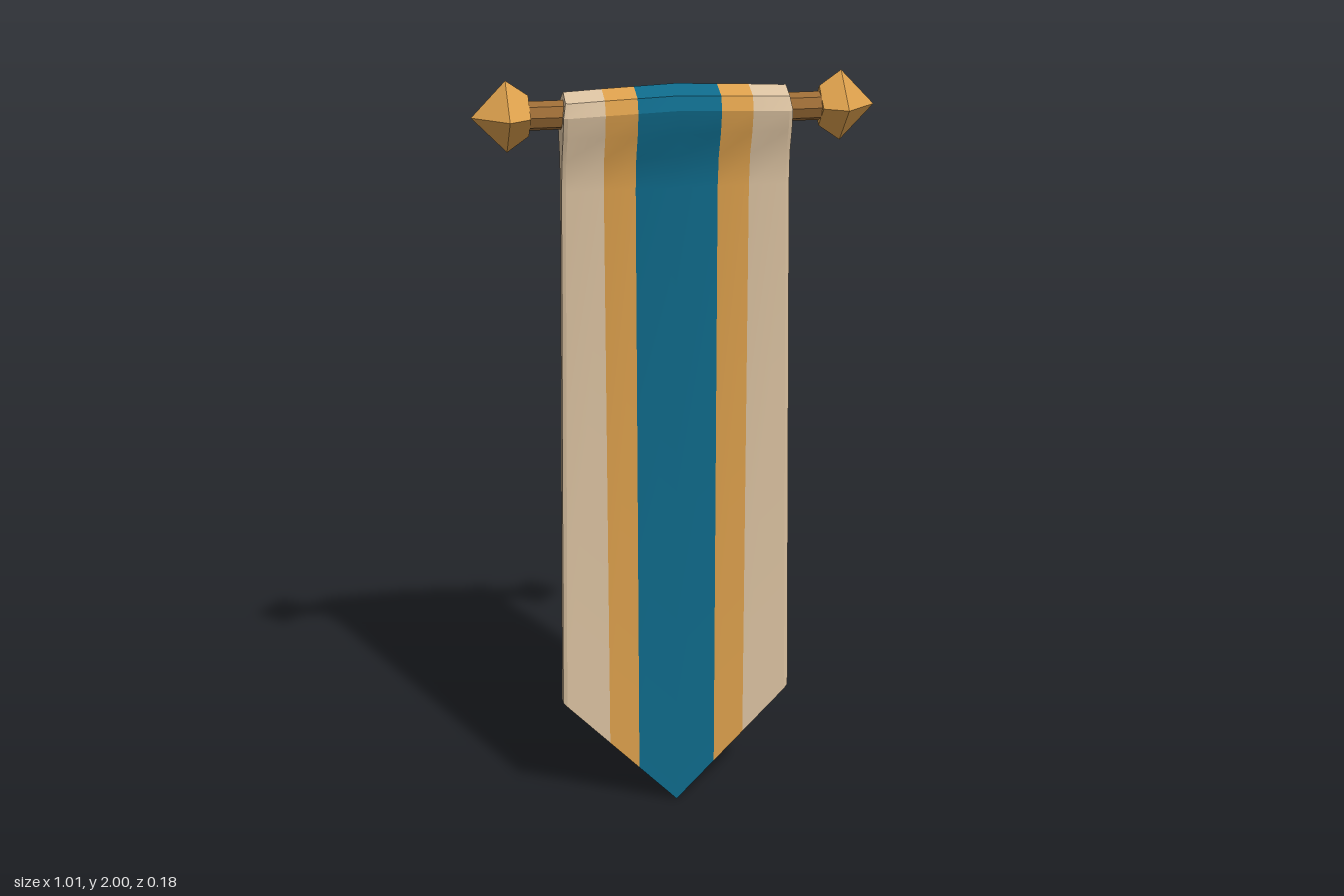
import * as THREE from 'three';
import { toCreasedNormals } from 'three/addons/utils/BufferGeometryUtils.js';

const mat = (name, color) => new THREE.MeshStandardMaterial({ name, color });

const ROD_Y = 1.91;
const EDGE = 0.3; // any column beyond this follows the tapered cloth edge

// Front half of the cloth section: [height, half depth], from hem to the fold over the rod
const SECTION = [
  [0, 0.018], [1.72, 0.018], [1.8, 0.026], [1.86, 0.047],
  [1.91, 0.058], [1.945, 0.048], [1.966, 0],
];

// Closed ring of points around the cloth at one column; inset bevels the outer edge
function clothRing(x, inset = 0) {
  const a = Math.abs(x), s = Math.sign(x);
  const bulge = Math.max(0, 1 - a / 0.29); // fold is fuller in the middle
  const front = SECTION.map(([y, z], i) => {
    let px = a;
    if (a >= EDGE) {
      const t = Math.max(0, (y - 0.32) / 1.59);
      px = 0.31 - 0.024 * t - (0.01 - inset) - (y > 1.93 ? 0.006 : 0);
    }
    const py = i === 0 ? px * 1.035 : y + (y > 1.9 ? bulge * 0.012 : 0);
    const pz = y > 1.75 ? z * (1 + bulge * 0.18) : z;
    return new THREE.Vector3(s * px, py, Math.max(0, pz - inset * 0.5));
  });
  const back = front.slice(0, -1).reverse().map(p => new THREE.Vector3(p.x, p.y, -p.z));
  return [...front, ...back];
}

// Skin between neighbouring rings, with optional end caps
function clothStrip(rings, capLeft, capRight) {
  const pos = [];
  const quad = (a, b, c, d) => [a, b, c, a, c, d].forEach(p => pos.push(p.x, p.y, p.z));
  for (let k = 0; k < rings.length - 1; k++) {
    const a = rings[k], b = rings[k + 1], n = a.length;
    for (let i = 0; i < n; i++) {
      const j = (i + 1) % n;
      quad(a[i], b[i], b[j], a[j]);
    }
  }
  const cap = (r, flip) => {
    const n = r.length;
    for (let i = 0; i < SECTION.length - 1; i++) {
      const q = [r[i], r[n - 1 - i], r[n - 2 - i], r[i + 1]];
      quad(...(flip ? q.reverse() : q));
    }
  };
  if (capLeft) cap(rings[rings.length - 1], false);
  if (capRight) cap(rings[0], true);
  const geo = new THREE.BufferGeometry();
  geo.setAttribute('position', new THREE.Float32BufferAttribute(pos, 3));
  return toCreasedNormals(geo, 0.4);
}

export function createModel() {
  const cream = mat('creamCloth', 0xdac1a0);
  const gold = mat('gold', 0xdb9f4c);
  const teal = mat('tealCloth', 0x0f6a8a);
  const wood = mat('brownWood', 0x9c6c36);
  gold.flatShading = false;

  const model = new THREE.Group();
  model.name = 'hangingBanner';
  const add = (name, geo, material, parent = model) => {
    const mesh = new THREE.Mesh(geo, material);
    mesh.name = name;
    parent.add(mesh);
    return mesh;
  };

  // Cloth, split into vertical stripes
  const cloth = new THREE.Group();
  cloth.name = 'cloth';
  model.add(cloth);
  const rings = xs => xs.map(x => clothRing(x));
  add('centreStripe', clothStrip(rings([-0.104, 0, 0.104])), teal, cloth);
  add('leftGoldStripe', clothStrip(rings([0.104, 0.184])), gold, cloth);
  add('rightGoldStripe', clothStrip(rings([-0.184, -0.104])), gold, cloth);
  add('leftBorder', clothStrip([...rings([0.184, EDGE]), clothRing(EDGE, 0.01)], true, false), cream, cloth);
  add('rightBorder', clothStrip([clothRing(-EDGE, 0.01), ...rings([-EDGE, -0.184])], false, true), cream, cloth);

  // Eight-sided rod
  const rodGeo = new THREE.CylinderGeometry(0.036, 0.036, 0.78, 8).rotateZ(Math.PI / 2);
  rodGeo.translate(0, ROD_Y, 0);
  add('rod', toCreasedNormals(rodGeo, 0.3), wood);

  // Four-sided pointed finials
  const profile = [[0, 0.365], [0.05, 0.365], [0.088, 0.42], [0, 0.506]]
    .map(([r, y]) => new THREE.Vector2(r, y));
  for (const side of [1, -1]) {
    const geo = new THREE.LatheGeometry(profile, 4).rotateZ(-side * Math.PI / 2);
    geo.translate(0, ROD_Y, 0);
    add(side > 0 ? 'leftFinial' : 'rightFinial', toCreasedNormals(geo, 0.3), gold);
  }
  return model;
}
